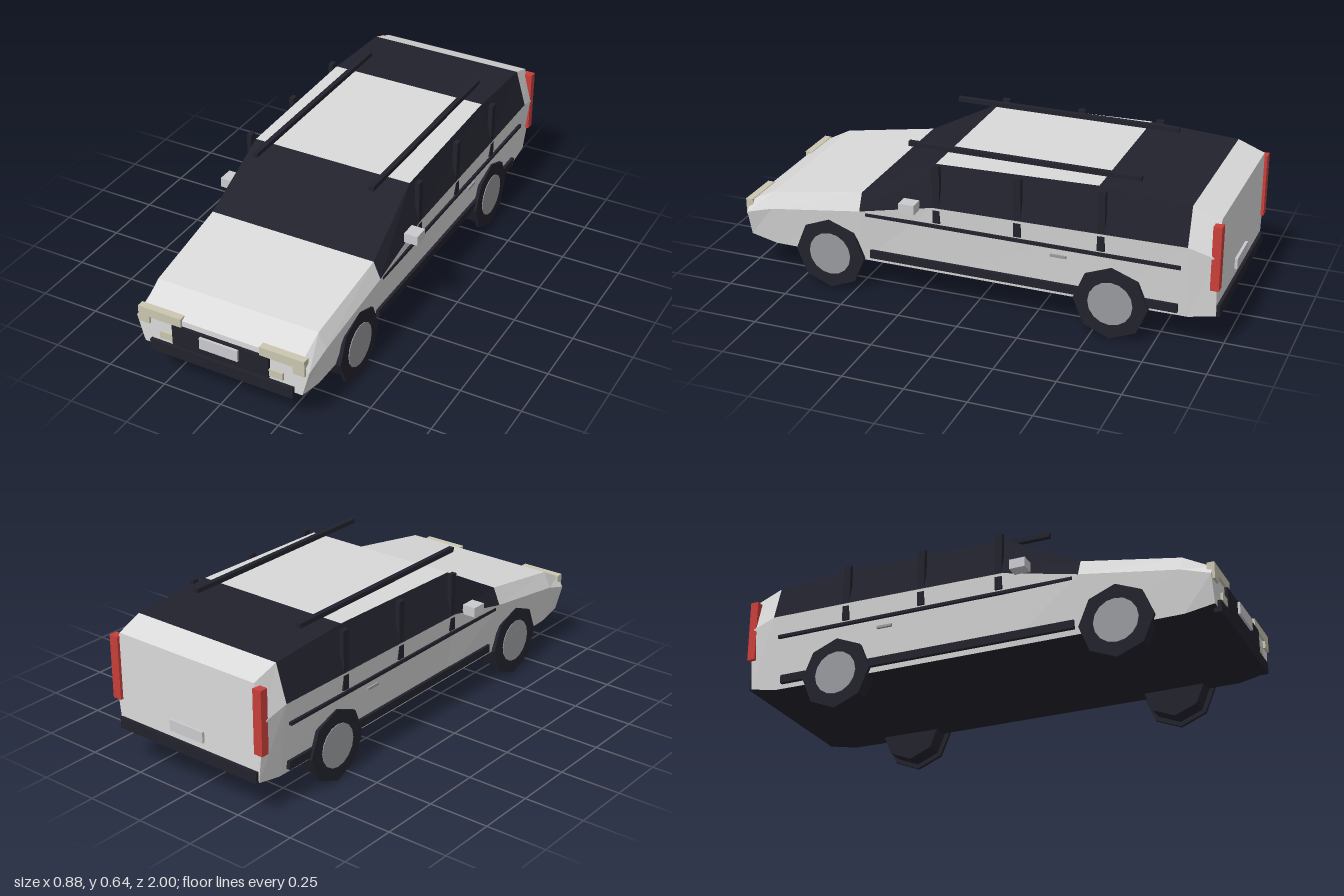
import * as THREE from 'three';

const mat = (name, color) => {
  const m = new THREE.MeshStandardMaterial({ color });
  m.name = name;
  m.flatShading = true;
  return m;
};

export function createModel() {
  const car = new THREE.Group();
  car.name = 'stationWagon';
  const paint = mat('paint', 0xdadada);
  const dark = mat('charcoal', 0x22222d);
  const plateGrey = mat('plateGrey', 0xcbcbcf);
  const lamp = mat('lampBeige', 0xcbc6b0);
  const red = mat('tailRed', 0xc83f3a);
  const hubGrey = mat('hubGrey', 0x98999d);

  // Cross-sections front to rear: z, top [x, y], belt [x, y], bottom [x, y]
  const stations = [
    [0.975, [0.34, 0.31], [0.37, 0.27], [0.34, 0.16]],
    [0.86, [0.345, 0.37], [0.376, 0.305], [0.345, 0.138]],
    [0.46, [0.355, 0.435], [0.385, 0.365], [0.345, 0.135]],
    [0.145, [0.343, 0.603], [0.387, 0.435], [0.345, 0.135]],
    [-0.515, [0.34, 0.617], [0.387, 0.442], [0.345, 0.135]],
    [-0.875, [0.34, 0.595], [0.385, 0.445], [0.345, 0.138]],
    [-0.985, [0.333, 0.555], [0.373, 0.41], [0.345, 0.16]],
  ];
  const shell = { paint: [], glass: [], floor: [] };
  const face = (list, ...p) => {
    for (let i = 1; i < p.length - 1; i++) list.push(...p[0], ...p[i], ...p[i + 1]);
  };
  const pt = (s, k, side) => [side * s[k][0], s[k][1], s[0]];
  const TOP = 1, BELT = 2, LOW = 3;

  for (let i = 0; i < stations.length - 1; i++) {
    const f = stations[i], r = stations[i + 1];
    // Windscreen and rear roof panel are dark, as are the side windows
    const roof = i === 2 || i === 4 ? shell.glass : shell.paint;
    const upper = i >= 2 && i <= 4 ? shell.glass : shell.paint;
    face(roof, pt(f, TOP, -1), pt(f, TOP, 1), pt(r, TOP, 1), pt(r, TOP, -1));
    face(shell.floor, pt(f, LOW, 1), pt(f, LOW, -1), pt(r, LOW, -1), pt(r, LOW, 1));
    for (const [list, hi, lo] of [[upper, TOP, BELT], [shell.paint, BELT, LOW]]) {
      face(list, pt(f, lo, 1), pt(r, lo, 1), pt(r, hi, 1), pt(f, hi, 1));
      face(list, pt(r, lo, -1), pt(f, lo, -1), pt(f, hi, -1), pt(r, hi, -1));
    }
  }
  // Nose and tail caps
  const ring = (s) => [pt(s, LOW, -1), pt(s, LOW, 1), pt(s, BELT, 1),
    pt(s, TOP, 1), pt(s, TOP, -1), pt(s, BELT, -1)];
  face(shell.paint, ...ring(stations[0]));
  face(shell.paint, ...ring(stations[stations.length - 1]).reverse());

  const addShell = (name, list, material) => {
    const g = new THREE.BufferGeometry();
    g.setAttribute('position', new THREE.Float32BufferAttribute(list, 3));
    g.computeVertexNormals();
    const m = new THREE.Mesh(g, material);
    m.name = name;
    car.add(m);
  };
  addShell('bodyShell', shell.paint, paint);
  addShell('windows', shell.glass, dark);
  addShell('underside', shell.floor, dark);

  // Box given by its extents; pair() adds it on both sides
  const box = (name, material, [x0, x1], [y0, y1], [z0, z1]) => {
    const m = new THREE.Mesh(new THREE.BoxGeometry(x1 - x0, y1 - y0, z1 - z0), material);
    m.position.set((x0 + x1) / 2, (y0 + y1) / 2, (z0 + z1) / 2);
    m.name = name;
    car.add(m);
  };
  const pair = (name, material, [x0, x1], y, z) => {
    box(name + 'Left', material, [x0, x1], y, z);
    box(name + 'Right', material, [-x1, -x0], y, z);
  };

  // Nose
  box('frontBumper', dark, [-0.308, 0.308], [0.14, 0.187], [0.96, 0.99]);
  box('grille', dark, [-0.207, 0.207], [0.196, 0.286], [0.96, 0.988]);
  box('frontPlate', plateGrey, [-0.082, 0.082], [0.23, 0.279], [0.98, 0.998]);
  pair('headlight', lamp, [0.168, 0.356], [0.285, 0.323], [0.955, 0.985]);
  pair('cornerLight', lamp, [0.308, 0.356], [0.255, 0.285], [0.955, 0.985]);
  pair('fogLight', lamp, [0.207, 0.265], [0.205, 0.236], [0.96, 0.985]);

  // Tail
  box('rearBumper', dark, [-0.343, 0.343], [0.16, 0.205], [-0.998, -0.97]);
  box('rearPlate', plateGrey, [-0.082, 0.082], [0.235, 0.28], [-0.996, -0.98]);
  pair('tailLight', red, [0.335, 0.374], [0.28, 0.54], [-0.997, -0.963]);

  // Sides and roof
  pair('sill', dark, [0.33, 0.365], [0.156, 0.19], [-0.84, 0.43]);
  pair('sideTrim', dark, [0.355, 0.3855], [0.348, 0.361], [-0.85, 0.435]);
  for (const z of [0.13, -0.205, -0.54]) {
    pair('windowPillar', dark, [0.366, 0.3855], [0.37, 0.612], [z - 0.015, z + 0.015]);
  }
  pair('mirror', plateGrey, [0.383, 0.44], [0.416, 0.456], [0.2, 0.265]);
  pair('doorHandle', hubGrey, [0.36, 0.378], [0.308, 0.318], [-0.4, -0.335]);
  pair('roofRail', dark, [0.245, 0.265], [0.624, 0.643], [-0.655, 0.295]);

  // Wheels: octagonal tread, wider outer wall and hub disc
  const disc = (parent, name, material, radius, sides, x0, x1) => {
    const g = new THREE.CylinderGeometry(radius, radius, x1 - x0, sides);
    g.rotateZ(-Math.PI / 2);
    const m = new THREE.Mesh(g, material);
    m.position.x = (x0 + x1) / 2;
    m.name = name;
    parent.add(m);
  };
  for (const side of [1, -1]) {
    for (const [label, z] of [['front', 0.603], ['rear', -0.58]]) {
      const wheel = new THREE.Group();
      wheel.name = label + (side > 0 ? 'LeftWheel' : 'RightWheel');
      disc(wheel, 'tread', dark, 0.131, 8, 0.286, 0.365);
      disc(wheel, 'tyreWall', dark, 0.15, 8, 0.36, 0.375);
      disc(wheel, 'hub', hubGrey, 0.09, 16, 0.37, 0.378);
      wheel.position.set(0, 0.15, z);
      if (side < 0) wheel.rotation.y = Math.PI;
      car.add(wheel);
    }
  }
  return car;
}
